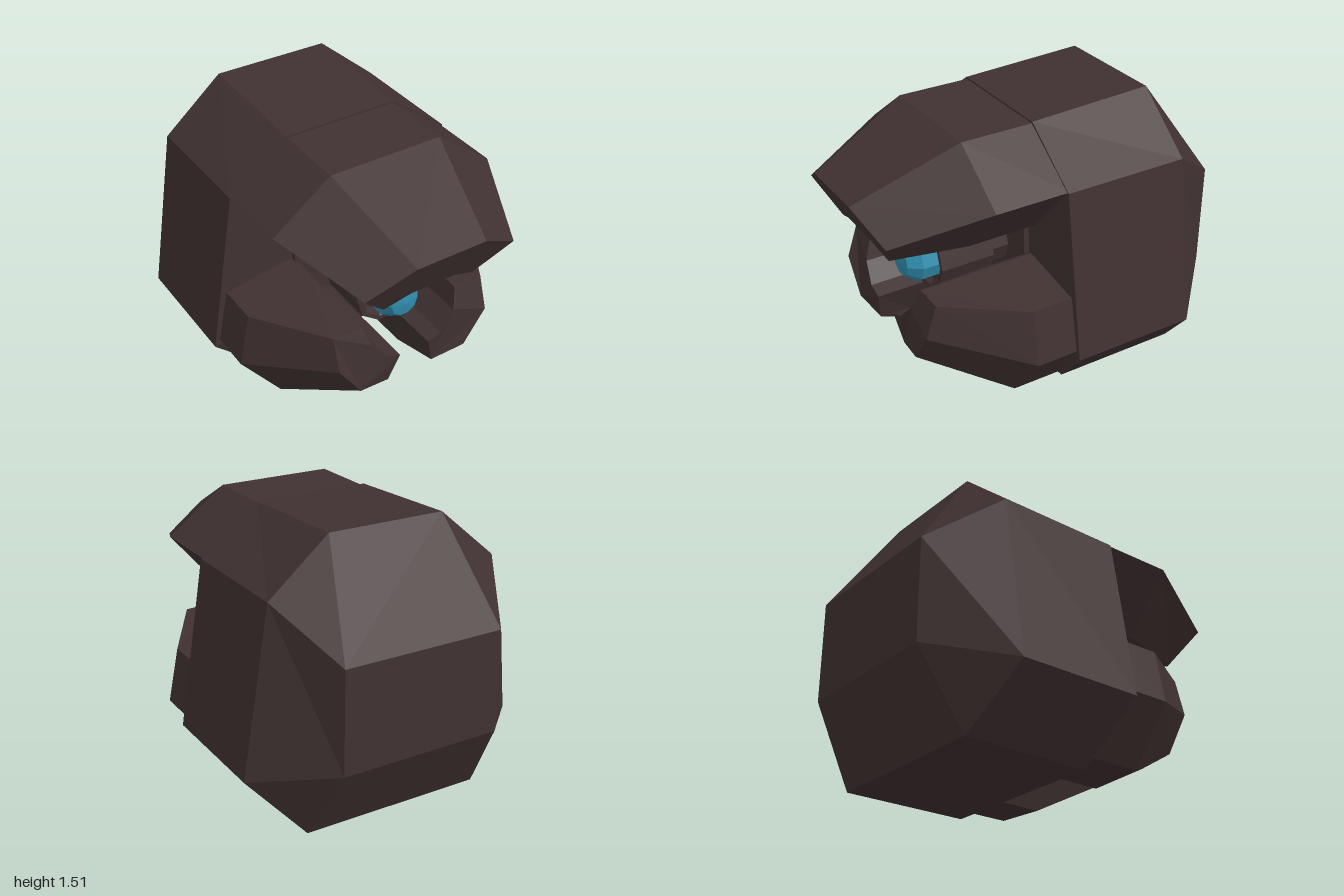
import * as THREE from 'three';

const shell = new THREE.MeshStandardMaterial({ color: 0x403131 });
shell.name = 'dark brown shell';
const glass = new THREE.MeshStandardMaterial({ color: 0x308eae });
glass.name = 'blue glass';

// Mirror a right-hand outline (bottom to top) into a full counter-clockwise loop
const mirror = (half) => [...half, ...half.map(([x, y, z]) => [-x, y, z]).reverse()];
const atZ = (pts, z) => pts.map(([x, y]) => [x, y, z]);

// Faceted skin through loops ordered from back to front, capped at both ends
function loft(loops) {
  const pos = [];
  const tri = (a, b, c) => pos.push(...a, ...b, ...c);
  for (let i = 0; i + 1 < loops.length; i++) {
    const p = loops[i], q = loops[i + 1], n = p.length;
    for (let j = 0; j < n; j++) {
      const k = (j + 1) % n;
      tri(p[j], p[k], q[k]);
      tri(p[j], q[k], q[j]);
    }
  }
  const cap = (loop, front) => {
    const flat = loop.map(([x, y]) => new THREE.Vector2(x, y));
    for (const f of THREE.ShapeUtils.triangulateShape(flat.slice(), [])) {
      const ccw = THREE.ShapeUtils.area(f.map((i) => flat[i])) > 0;
      const [a, b, c] = f.map((i) => loop[i]);
      if (ccw === front) tri(a, b, c); else tri(a, c, b);
    }
  };
  cap(loops[0], false);
  cap(loops[loops.length - 1], true);
  const g = new THREE.BufferGeometry();
  g.setAttribute('position', new THREE.Float32BufferAttribute(pos, 3));
  g.computeVertexNormals();
  return g;
}

// Ten-sided turned part along z, profile given as [radius, z]
function turned(profile) {
  const pts = profile.map(([r, z]) => new THREE.Vector2(r, z));
  const g = new THREE.LatheGeometry(pts, 10, Math.PI / 10).rotateX(Math.PI / 2).toNonIndexed();
  g.computeVertexNormals();
  return g.translate(0, 0.69, 0);
}

export function createModel() {
  const model = new THREE.Group();
  const add = (name, geometry, material = shell) => {
    const mesh = new THREE.Mesh(geometry, material);
    mesh.name = name;
    model.add(mesh);
  };

  // Main housing with bevelled back and undercut front
  add('housing', loft([
    [[0.45, 0.42, -1], [0.45, 0.42, -1], [0.45, 0.98, -1], [0.45, 0.98, -1]],
    [[0.51, 0, -0.76], [0.8, 0.32, -0.65], [0.655, 1.23, -0.65], [0.325, 1.51, -0.65]],
    [[0.51, 0, -0.04], [0.8, 0.32, 0.05], [0.655, 1.23, 0.05], [0.325, 1.48, 0.05]],
    [[0.5, 0.32, 0.05], [0.8, 0.32, 0.05], [0.655, 1.23, 0.05], [0.325, 1.48, 0.05]],
  ].map(mirror)));

  // Overhanging visor, tapering to the front
  const visor = [[0.13, 0.96], [0.27, 0.915], [0.38, 0.92], [0.645, 1.23], [0.32, 1.47]];
  add('visor', loft([
    atZ(visor, 0.03),
    atZ(visor, 0.45),
    [[0.13, 0.96, 0.87], [0.265, 0.9, 0.84], [0.28, 0.91, 0.845], [0.44, 1.08, 0.93], [0.2, 1.22, 1]],
  ].map(mirror)));

  // Pair of lower jaws, hollowed around the barrel
  const jaw = [[0.33, 0.72], [0.29, 0.7], [0.26, 0.58], [0.17, 0.48], [0.09, 0.45],
    [0.24, 0.045], [0.54, 0.06], [0.77, 0.36], [0.71, 0.655]];
  const jawTip = [[0.31, 0.695, 0.69], [0.29, 0.69, 0.69], [0.26, 0.58, 0.73], [0.17, 0.48, 0.75],
    [0.09, 0.45, 0.75], [0.14, 0.28, 0.72], [0.33, 0.32, 0.75], [0.46, 0.51, 0.75], [0.46, 0.69, 0.69]];
  const jawLoops = [atZ(jaw, -0.02), atZ(jaw, 0.28), jawTip];
  add('leftJaw', loft(jawLoops));
  add('rightJaw', loft(jawLoops.map((l) => l.map(([x, y, z]) => [-x, y, z]).reverse())));

  // Mounting plate behind the barrel
  const plate = [[0.1, 0.43], [0.19, 0.48], [0.27, 0.59], [0.31, 0.72], [0.3, 0.93]];
  add('mountingPlate', loft([atZ(mirror(plate), 0.03), atZ(mirror(plate), 0.08)]));

  // Stepped barrel with a shallow cup, and the lens inside it
  add('barrel', turned([[0.15, 0.05], [0.15, 0.2], [0.2, 0.2], [0.2, 0.51], [0.175, 0.51], [0.15, 0.48], [0, 0.48]]));
  add('lens', turned([[0.13, 0.46], [0.13, 0.58], [0.08, 0.65], [0, 0.665]]), glass);

  return model;
}
